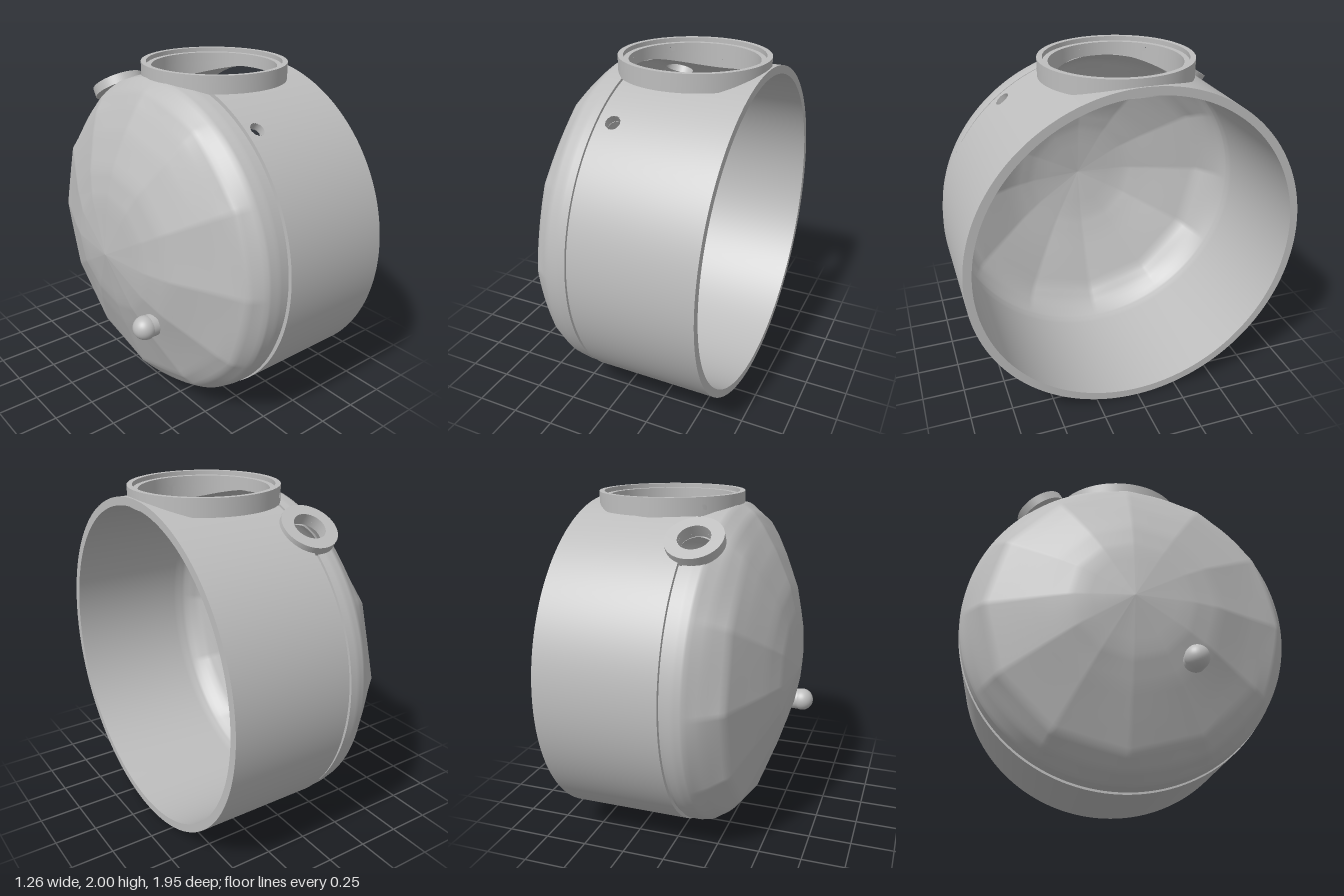
import * as THREE from 'three';

const CY = 0.98, R = 0.977, RI = 0.93, SEG = 288;
const grey = new THREE.MeshStandardMaterial({ color: 0xbdbdbd });
grey.name = 'plain grey';
grey.side = THREE.DoubleSide;

// Radial openings: x position, angle from the top towards +z, radius
const sightHole = { x: 0, angle: 0.652, r: 0.042 };
const portHole = { x: -0.125, angle: -0.573, r: 0.09 };
const collar = { x: 0.195, r: 0.365 };

const radialGap = (p, h) => {
  const c = Math.cos(h.angle), s = Math.sin(h.angle), y = p.y - CY;
  if (y * c + p.z * s < 0) return 1;
  return Math.hypot(p.x - h.x, p.z * c - y * s) - h.r;
};
const shellGap = (p) => Math.min(
  p.y < CY ? 1 : Math.hypot(p.x - collar.x, p.z) - collar.r,
  radialGap(p, sightHole), radialGap(p, portHole));

// Keeps the part of a geometry where gap(p) > 0, cutting triangles on the border
function cutHoles(geometry, gap) {
  const g = geometry.index ? geometry.toNonIndexed() : geometry;
  const P = g.attributes.position, N = g.attributes.normal, pos = [], nor = [];
  for (let i = 0; i < P.count; i += 3) {
    const tri = [0, 1, 2].map((k) => {
      const p = new THREE.Vector3().fromBufferAttribute(P, i + k);
      return { p, n: new THREE.Vector3().fromBufferAttribute(N, i + k), f: gap(p) };
    });
    const poly = [];
    tri.forEach((a, k) => {
      const b = tri[(k + 1) % 3];
      if (a.f >= 0) poly.push(a);
      if ((a.f >= 0) !== (b.f >= 0)) {
        const t = a.f / (a.f - b.f);
        poly.push({ p: a.p.clone().lerp(b.p, t), n: a.n.clone().lerp(b.n, t).normalize() });
      }
    });
    for (let k = 1; k + 1 < poly.length; k++) {
      for (const v of [poly[0], poly[k], poly[k + 1]]) {
        pos.push(v.p.x, v.p.y, v.p.z);
        nor.push(v.n.x, v.n.y, v.n.z);
      }
    }
  }
  const out = new THREE.BufferGeometry();
  out.setAttribute('position', new THREE.Float32BufferAttribute(pos, 3));
  out.setAttribute('normal', new THREE.Float32BufferAttribute(nor, 3));
  return out;
}

// Surface around the x axis; at(t, angle) gives [x, radius]
function around(rows, at) {
  const pos = [], index = [];
  for (let i = 0; i <= rows; i++) {
    for (let j = 0; j < SEG; j++) {
      const a = (j / SEG) * Math.PI * 2;
      const [x, r] = at(i / rows, a);
      pos.push(x, CY + r * Math.cos(a), r * Math.sin(a));
      if (i === rows) continue;
      const p = i * SEG + j, q = i * SEG + (j + 1) % SEG;
      index.push(p, p + SEG, q, q, p + SEG, q + SEG);
    }
  }
  const g = new THREE.BufferGeometry();
  g.setAttribute('position', new THREE.Float32BufferAttribute(pos, 3));
  g.setIndex(index);
  g.computeVertexNormals();
  return g;
}
const straight = (x0, r0, x1, r1) => (t) => [x0 + (x1 - x0) * t, r0 + (r1 - r0) * t];

// Dome: depth at each radius, along four directions, softly faceted
const radii = [0.97, 0.97, 0.96, 0.91, 0.83, 0.7, 0.5, 0.33, 0.001];
const depth = {
  top: [0.1, 0.15, 0.22, 0.3, 0.36, 0.435, 0.525, 0.567, 0.6],
  bottom: [0.1, 0.15, 0.2, 0.29, 0.36, 0.41, 0.485, 0.54, 0.6],
  back: [0.1, 0.15, 0.2, 0.28, 0.38, 0.43, 0.51, 0.57, 0.6],
  front: [0.1, 0.15, 0.22, 0.31, 0.35, 0.41, 0.51, 0.56, 0.6],
};
function dome(t, a) {
  const u = t * (radii.length - 1), i = Math.min(Math.floor(u), radii.length - 2), f = u - i;
  const mix = (list) => list[i] + (list[i + 1] - list[i]) * f;
  const c = Math.cos(a), s = Math.sin(a);
  const d = mix(c > 0 ? depth.top : depth.bottom) * c * c + mix(s > 0 ? depth.front : depth.back) * s * s;
  const side = Math.PI / 6, off = (a % side) - side / 2;
  const facet = Math.cos(side / 2) / Math.cos(off);
  const amount = THREE.MathUtils.clamp((t - 0.25) * 4, 0, 1);
  return [-d, mix(radii) * (1 + (facet - 1) * amount)];
}
function domeInside(t, a) {
  const [x, r] = dome(1 - t, a);
  return [x + 0.04, r * RI / 0.97];
}

function add(parent, name, geometry) {
  const m = new THREE.Mesh(geometry, grey);
  m.name = name;
  parent.add(m);
  return m;
}

// Places a part whose own y axis points out of the drum
function radial(mesh, h) {
  mesh.position.set(h.x, CY, 0);
  mesh.rotation.x = h.angle;
}

export function createModel() {
  const model = new THREE.Group();
  model.name = 'drumHousing';

  // Shell with its openings
  const shell = new THREE.Group();
  shell.name = 'shell';
  model.add(shell);
  const piece = (name, rows, at) => add(shell, name, cutHoles(around(rows, at), shellGap));
  piece('openRim', 1, straight(0.63, RI, 0.63, R));
  piece('drumOutside', 32, straight(0.63, R, -0.075, R));
  piece('grooveFrontWall', 1, straight(-0.075, R, -0.075, 0.955));
  piece('grooveFloor', 1, straight(-0.075, 0.955, -0.1, 0.955));
  piece('grooveBackWall', 1, straight(-0.1, 0.955, -0.1, 0.97));
  piece('domeOutside', 32, dome);
  piece('domeInside', 24, domeInside);
  piece('drumInside', 30, straight(-0.06, RI, 0.63, RI));

  // Wall of the top opening, following the curve of the drum
  const throat = new THREE.CylinderGeometry(collar.r, collar.r, 1, 96, 1, true);
  const tp = throat.attributes.position;
  for (let i = 0; i < tp.count; i++) {
    const z = tp.getZ(i);
    tp.setY(i, tp.getY(i) > 0 ? 1.92 : CY + Math.sqrt(RI * RI - z * z));
  }
  throat.computeVertexNormals();
  add(model, 'topOpeningWall', throat).position.set(collar.x, 0, 0);

  // Collar with an inner ledge and a small square cable hole
  const neck = new THREE.Group();
  neck.name = 'topCollar';
  neck.position.x = collar.x;
  model.add(neck);
  const cableGap = (p) => {
    if (p.x > 0 || p.z > 0) return 1;
    return Math.max(Math.abs(p.x * 0.71 - p.z * 0.7), Math.abs(p.y - 1.945)) - 0.015;
  };
  const corners = [[0.365, 1.9], [0.425, 1.9], [0.425, 2], [0.395, 2], [0.395, 1.975], [0.365, 1.975], [0.365, 1.9]];
  for (let i = 0; i + 1 < corners.length; i++) {
    const a = new THREE.Vector2(...corners[i]), b = new THREE.Vector2(...corners[i + 1]);
    const line = Array.from({ length: 9 }, (_, k) => a.clone().lerp(b, k / 8));
    add(neck, 'collarFace' + (i + 1), cutHoles(new THREE.LatheGeometry(line, 128), cableGap));
  }

  // Rear port: flat ring seated on the shell
  const ring = new THREE.Shape().absarc(0, 0, 0.16, 0, Math.PI * 2);
  ring.holes.push(new THREE.Path().absarc(0, 0, portHole.r, 0, Math.PI * 2, true));
  const ringGeo = new THREE.ExtrudeGeometry(ring, { depth: 0.055, bevelEnabled: false, curveSegments: 48 });
  ringGeo.rotateX(-Math.PI / 2).translate(0, 0.948, 0);
  radial(add(model, 'rearPortRing', ringGeo), portHole);

  // Walls of the two round openings
  for (const [name, h] of [['rearPortWall', portHole], ['sightHoleWall', sightHole]]) {
    const wall = new THREE.CylinderGeometry(h.r, h.r, R - RI, 40, 1, true);
    radial(add(model, name, wall.translate(0, (R + RI) / 2, 0)), h);
  }

  // Round knob with a short stem on the dome
  const knob = new THREE.Group();
  knob.name = 'knob';
  knob.position.set(-0.565, 0.643, 0.338);
  add(knob, 'knobBall', new THREE.SphereGeometry(0.07, 32, 24));
  const stem = new THREE.CylinderGeometry(0.066, 0.066, 0.06, 32).rotateZ(Math.PI / 2);
  add(knob, 'knobStem', stem).position.x = 0.03;
  model.add(knob);

  return model;
}
